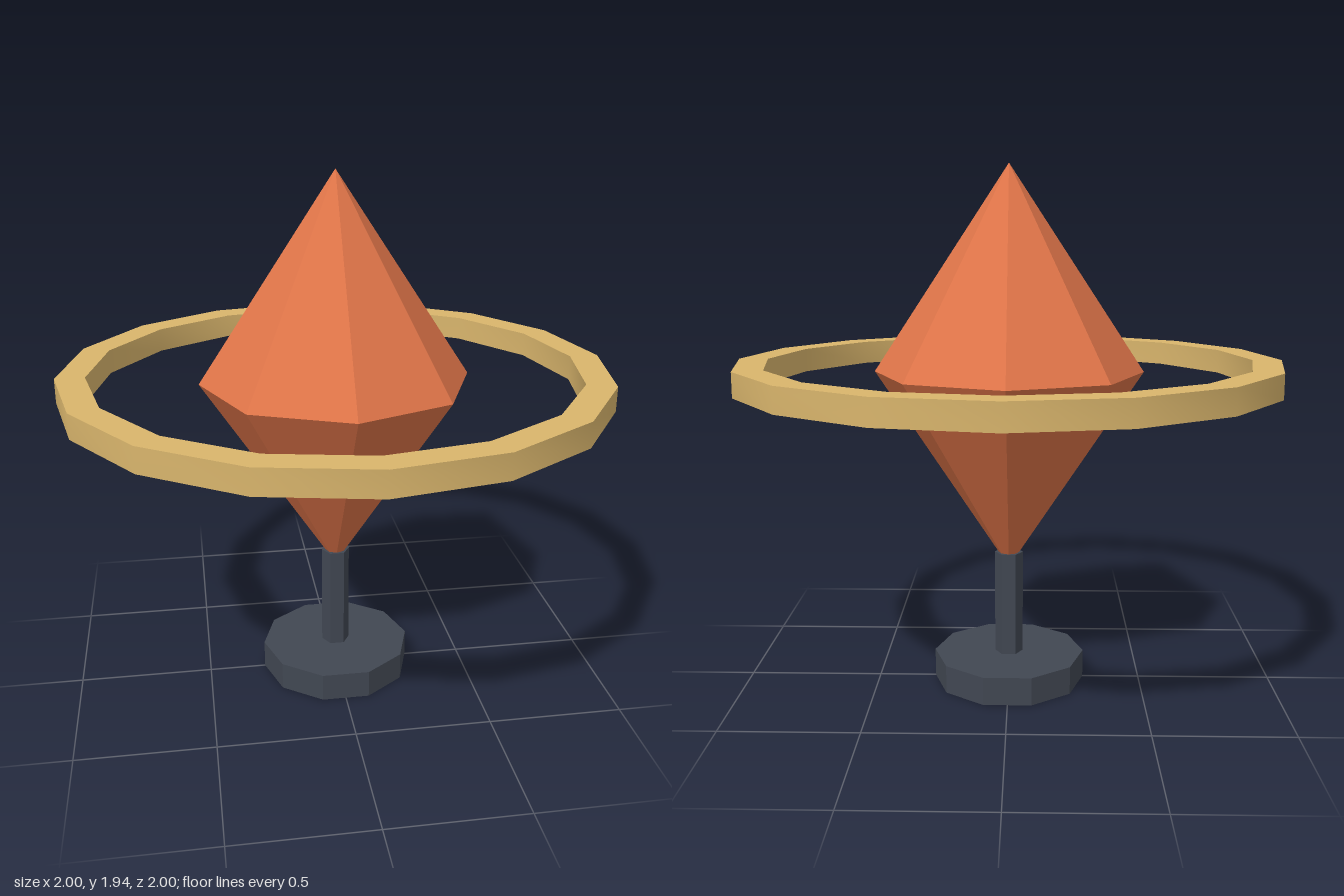
import * as THREE from 'three';
import { toCreasedNormals } from 'three/addons/utils/BufferGeometryUtils.js';

export function createModel() {
  const model = new THREE.Group();

  const material = (name, color, flatShading) => {
    const m = new THREE.MeshStandardMaterial({ color, flatShading });
    m.name = name;
    return m;
  };
  const orange = material('orange', 0xe07549, true);
  const slate = material('slate', 0x414752, true);
  const gold = material('gold', 0xd9b56c, false);

  const add = (name, geometry, mat, y) => {
    const mesh = new THREE.Mesh(geometry, mat);
    mesh.name = name;
    mesh.position.y = y;
    model.add(mesh);
    return mesh;
  };

  // Stand: ten-sided foot and six-sided stem, corners on the x axis
  add('base', new THREE.CylinderGeometry(0.285, 0.285, 0.105, 10), slate, 0.0525).rotation.y = Math.PI / 2;
  add('stem', new THREE.CylinderGeometry(0.053, 0.053, 0.42, 6), slate, 0.29).rotation.y = Math.PI / 2;

  // Gem: two eight-sided pyramids joined at the waist
  const waist = 1.19, half = 0.75, radius = 0.497;
  add('gemTop', new THREE.ConeGeometry(radius, half, 8, 1, true), orange, waist + half / 2);
  add('gemBottom', new THREE.ConeGeometry(radius, half, 8, 1, true), orange, waist - half / 2).rotation.x = Math.PI;

  // Ring: square section swept round in sixteen steps, smooth along its sides
  const inner = 0.893, outer = 1, h = 0.045;
  const section = [[inner, -h], [outer, -h], [outer, h], [inner, h], [inner, -h]]
    .map(([x, y]) => new THREE.Vector2(x, y));
  add('ring', toCreasedNormals(new THREE.LatheGeometry(section, 16), Math.PI / 6), gold, waist);

  return model;
}
